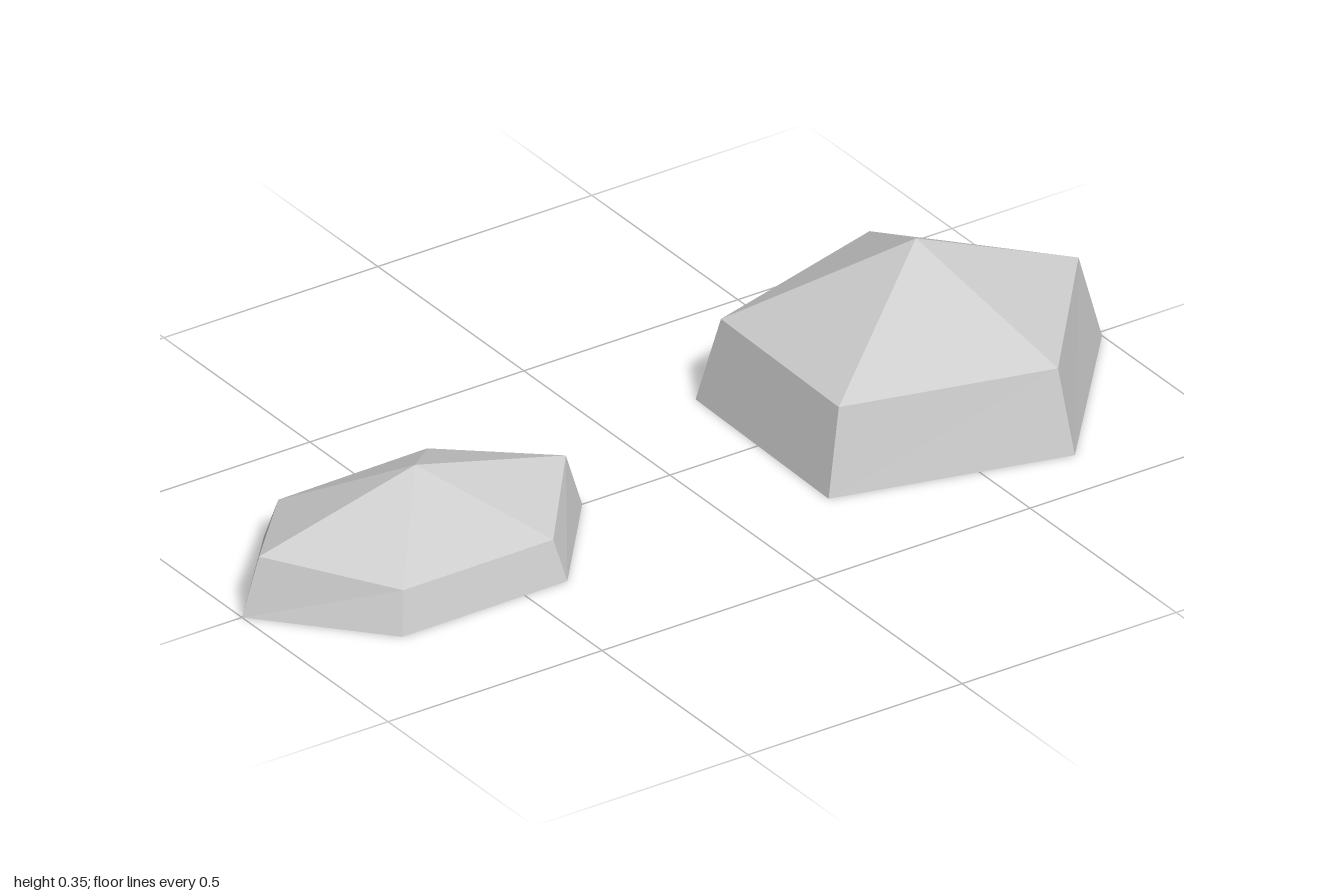
import * as THREE from 'three';

// Hollow faceted rock: base ring, raised inner ring, single peak (rings run left, front, right, back)
function makeRock(name, base, rim, peak, material) {
  const positions = [];
  const n = base.length;
  for (let i = 0; i < n; i++) {
    const j = (i + 1) % n;
    const [a, b] = [base[i], base[j]].map(([x, z]) => [x, 0, z]);
    const [c, d] = [rim[j], rim[i]];
    positions.push(...a, ...b, ...c, ...a, ...c, ...d); // sloped side
    positions.push(...d, ...c, ...peak);                // top facet
  }
  const geometry = new THREE.BufferGeometry();
  geometry.setAttribute('position', new THREE.Float32BufferAttribute(positions, 3));
  geometry.computeVertexNormals();
  const mesh = new THREE.Mesh(geometry, material);
  mesh.name = name;
  return mesh;
}

export function createModel() {
  const group = new THREE.Group();
  group.name = 'rocks';
  const stone = new THREE.MeshStandardMaterial({ color: 0xcccccc, side: THREE.DoubleSide, flatShading: true });
  stone.name = 'pale grey stone';

  // Low six-sided rock
  group.add(makeRock('smallRock',
    [[-1, 0], [-0.788, 0.238], [-0.4, 0.235], [-0.205, 0], [-0.397, -0.245], [-0.785, -0.24]],
    [[-0.96, 0.122, 0], [-0.77, 0.087, 0.215], [-0.418, 0.087, 0.213],
      [-0.243, 0.12, 0], [-0.415, 0.087, -0.223], [-0.767, 0.087, -0.217]],
    [-0.595, 0.21, 0], stone));

  // Taller five-sided rock
  group.add(makeRock('largeRock',
    [[0.2, 0.25], [0.69, 0.375], [1, 0.014], [0.702, -0.375], [0.21, -0.22]],
    [[0.243, 0.176, 0.222], [0.68, 0.175, 0.332], [0.945, 0.19, 0.014],
      [0.69, 0.171, -0.328], [0.252, 0.176, -0.195]],
    [0.565, 0.352, 0.014], stone));

  return group;
}
